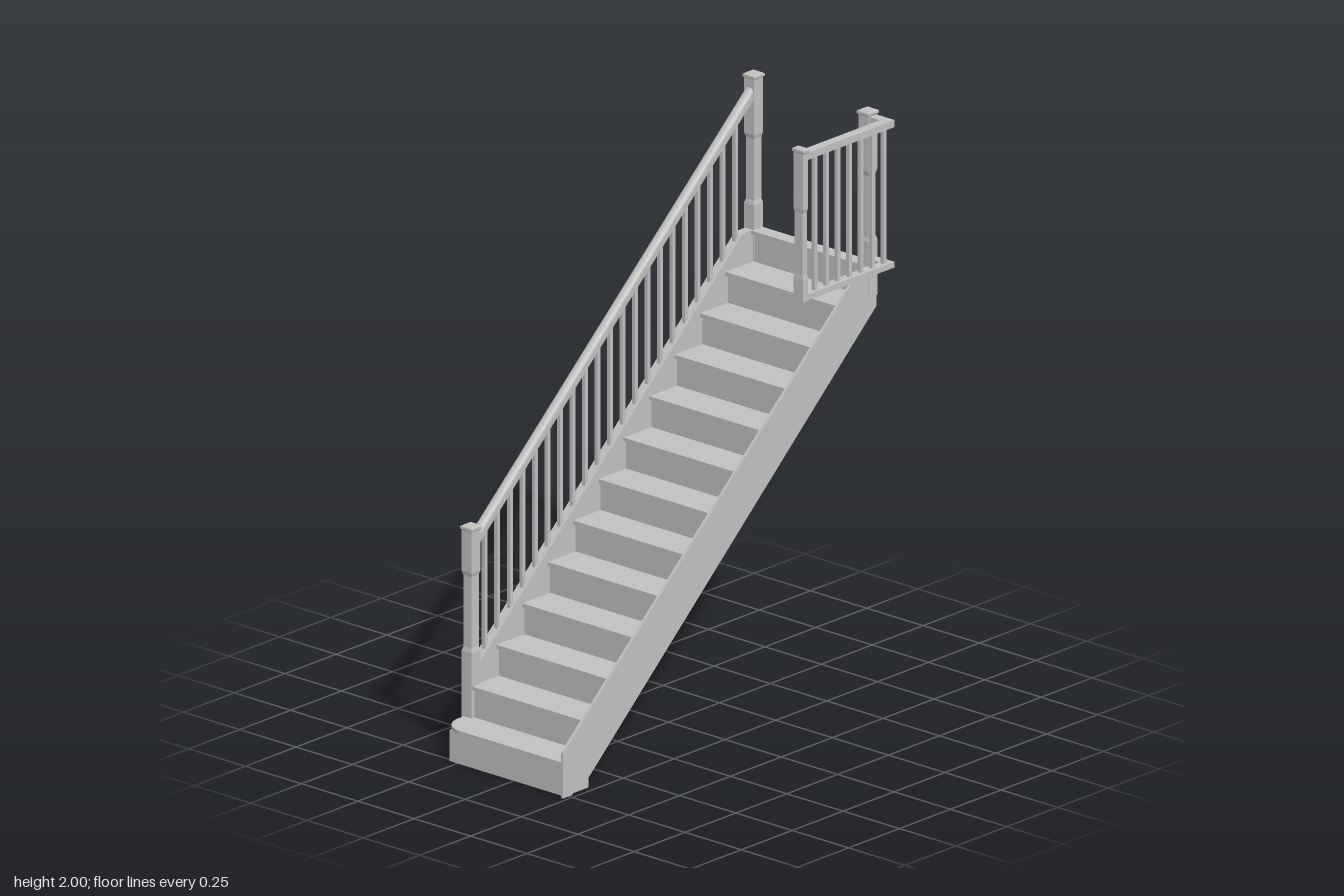
import * as THREE from 'three';

const STEPS = 13, RISE = 0.1114, RUN = 0.125, FIRST_TOP = 0.122;
const SLOPE = 0.89;
const X_LEFT = -0.285, X_RIGHT = 0.225, BACK = -0.772, RAIL_X = -0.302;

export function createModel() {
  const model = new THREE.Group();
  model.name = 'staircase';
  const grey = new THREE.MeshStandardMaterial({ color: 0xc0c0c0 });
  grey.name = 'paintedGrey';

  const add = (name, geometry, parent = model) => {
    const mesh = new THREE.Mesh(geometry, grey);
    mesh.name = name;
    parent.add(mesh);
    return mesh;
  };
  // box given by its limits on each axis
  const box = (name, x0, x1, y0, y1, z0, z1, parent) => {
    const g = new THREE.BoxGeometry(x1 - x0, y1 - y0, z1 - z0);
    g.translate((x0 + x1) / 2, (y0 + y1) / 2, (z0 + z1) / 2);
    return add(name, g, parent);
  };
  // side profile of [z, y] points, extruded from x0 to x1
  const sidePlate = (name, points, x0, x1) => {
    const shape = new THREE.Shape(points.map(p => new THREE.Vector2(p[0], p[1])));
    const g = new THREE.ExtrudeGeometry(shape, { depth: x1 - x0, bevelEnabled: false });
    g.rotateY(-Math.PI / 2).translate(x1, 0, 0);
    return add(name, g);
  };

  const noseZ = i => (i === 0 ? 0.773 : 0.655 - RUN * (i - 1));
  const topY = i => FIRST_TOP + RISE * i;
  const stringTop = z => 0.16 + SLOPE * (0.778 - z);
  const stringBottom = z => SLOPE * (0.735 - z);
  const TREAD = 0.014, OVERHANG = 0.012;

  // risers and sloping underside as one stepped body
  const profile = [[0.68, 0]];
  for (let i = 0; i < STEPS; i++) {
    const z = noseZ(i) - OVERHANG;
    profile.push([z, i ? topY(i - 1) - TREAD : 0], [z, topY(i) - TREAD]);
  }
  profile.push([BACK, topY(STEPS - 1) - TREAD], [BACK, 1.305]);
  sidePlate('risersAndSoffit', profile, X_LEFT, X_RIGHT);

  // treads with a small nosing
  const treads = new THREE.Group();
  treads.name = 'treads';
  model.add(treads);
  for (let i = 1; i < STEPS; i++) {
    const back = i < STEPS - 1 ? noseZ(i + 1) - OVERHANG : BACK;
    box('tread', X_LEFT, X_RIGHT, topY(i) - TREAD, topY(i), back, noseZ(i), treads);
  }

  // wide bottom step with a rounded outer corner
  const curtail = (name, x0, front, radius, y0, y1, back) => {
    const s = new THREE.Shape();
    s.moveTo(x0, -back);
    s.lineTo(x0, -(front - radius));
    s.absarc(x0 + radius, -(front - radius), radius, Math.PI, Math.PI * 1.5, false);
    s.lineTo(X_RIGHT, -front);
    s.lineTo(X_RIGHT, -back);
    const g = new THREE.ExtrudeGeometry(s, { depth: y1 - y0, bevelEnabled: false, curveSegments: 10 });
    g.rotateX(-Math.PI / 2).translate(0, y0, 0);
    add(name, g);
  };
  curtail('bottomStepRiser', -0.303, 0.761, 0.078, 0, FIRST_TOP - TREAD, 0.643);
  curtail('bottomStepTread', -0.315, 0.773, 0.09, FIRST_TOP - TREAD, FIRST_TOP, 0.643);

  // strings on both sides
  sidePlate('leftString', [
    [0.735, 0], [0.778, 0], [0.778, 0.16], [-0.68, stringTop(-0.68)],
    [-0.72, stringTop(-0.68)], [-0.72, stringBottom(-0.72)],
  ], X_RIGHT, 0.235);
  sidePlate('rightString', [
    [0.635, stringBottom(0.635)], [0.635, stringTop(0.635)],
    [-0.68, stringTop(-0.68)], [-0.75, stringTop(-0.68)], [-0.75, stringBottom(-0.75)],
  ], -0.32, X_LEFT);

  // square post: block, slimmer shaft, block, cap
  const newel = (name, x, z, y0, baseTop, shaftTop, top, depth = 1) => {
    const w = 0.022, s = 0.018, c = 0.026;
    const outline = [
      [0, y0], [w, y0], [w, baseTop], [s, baseTop + 0.015], [s, shaftTop - 0.015], [w, shaftTop],
      [w, top - 0.016], [c, top - 0.012], [c, top - 0.004], [c - 0.006, top], [0, top],
    ].map(p => new THREE.Vector2(p[0] * Math.SQRT2, p[1]));
    const g = new THREE.LatheGeometry(outline, 4, Math.PI / 4).toNonIndexed();
    g.scale(1, 1, depth).translate(x, 0, z);
    g.computeVertexNormals();
    add(name, g);
  };
  newel('bottomNewel', RAIL_X, 0.636, 0, 0.35, 0.63, 0.79);
  newel('topRightNewel', RAIL_X, -0.752, 1.35, 1.545, 1.79, 2);
  newel('topLeftNewel', 0.215, -0.741, 1.35, 1.545, 1.79, 2);
  newel('landingEndPost', 0.298, -0.319, 1.465, 1.545, 1.79, 2, 0.55);

  // sloping handrail with a rounded top, sheared to the pitch
  const railTop = z => 0.77 + 0.884 * (0.61 - z);
  const r = 0.0185, railLength = 1.35;
  const section = new THREE.Shape();
  section.moveTo(-r, -0.042);
  section.lineTo(r, -0.042);
  section.lineTo(r, -r);
  section.absarc(0, -r, r, 0, Math.PI, false);
  const railGeo = new THREE.ExtrudeGeometry(section, { depth: railLength, bevelEnabled: false, curveSegments: 10 });
  railGeo.translate(RAIL_X, 0, -0.735);
  const pos = railGeo.attributes.position;
  for (let i = 0; i < pos.count; i++) pos.setY(i, pos.getY(i) + railTop(pos.getZ(i)));
  railGeo.computeVertexNormals();
  add('handrail', railGeo);

  // stair balusters
  const b = 0.007;
  const balusters = new THREE.Group();
  balusters.name = 'stairBalusters';
  model.add(balusters);
  for (let i = 0; i < 21; i++) {
    const z = 0.569 - 0.0615 * i;
    box('baluster', RAIL_X - b, RAIL_X + b, stringTop(z) - 0.02, railTop(z) - 0.03, z - b, z + b, balusters);
  }

  // landing balustrade: rails turning the corner, with balusters
  const landing = new THREE.Group();
  landing.name = 'landingBalustrade';
  model.add(landing);
  for (const [name, y0, y1] of [['landingTopRail', 1.957, 1.982], ['landingBottomRail', 1.465, 1.485]]) {
    box(name, 0.281, 0.316, y0, y1, -0.76, -0.325, landing);
    box(name + 'Return', 0.23, 0.281, y0, y1, -0.76, -0.725, landing);
  }
  for (let i = 0; i < 7; i++) {
    const z = -0.386 - 0.0565 * i;
    box('landingBaluster', 0.298 - b, 0.298 + b, 1.48, 1.96, z - b, z + b, landing);
  }
  return model;
}
